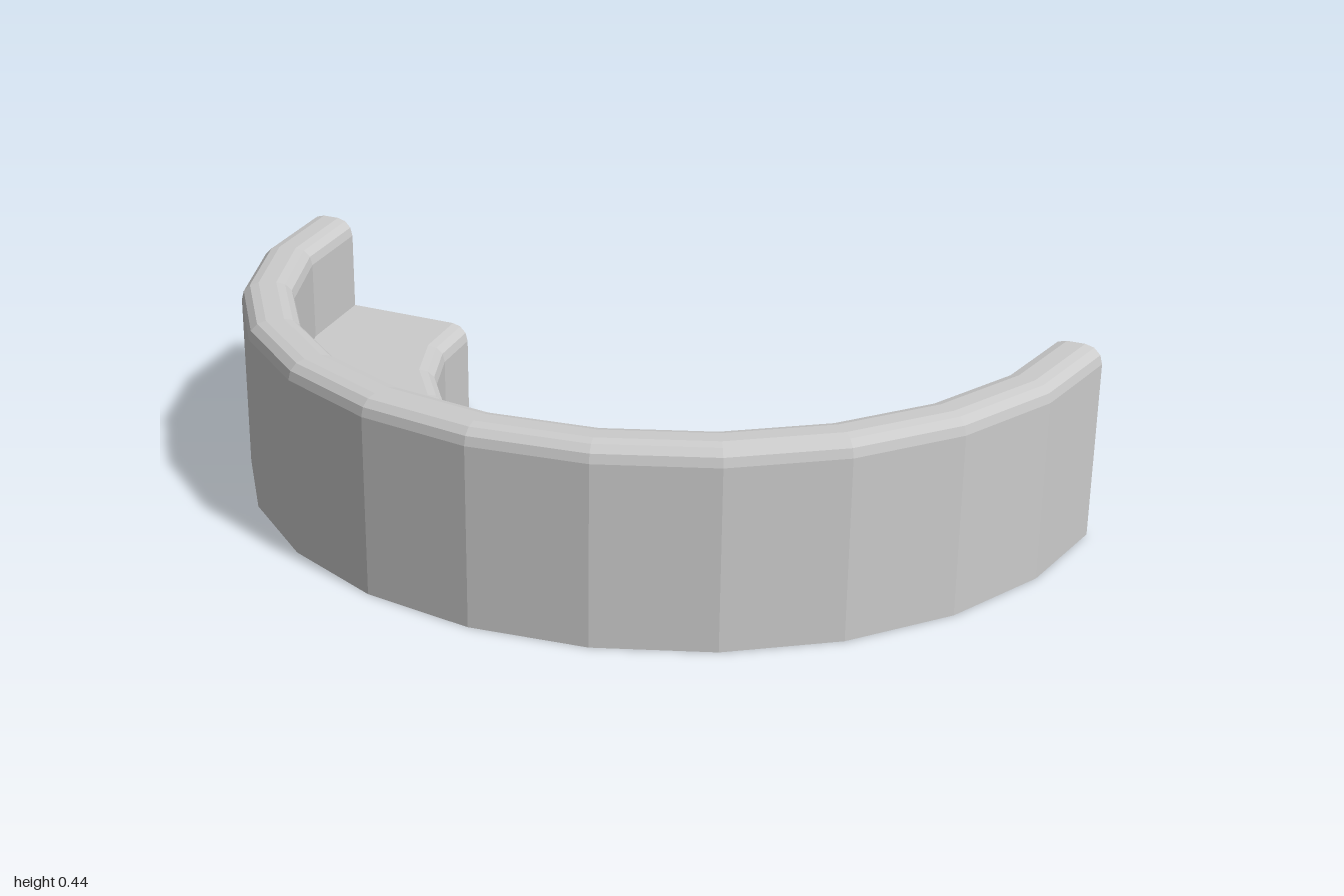
import * as THREE from 'three';

const HEIGHT = 0.443, SEAT = 0.222, FILLET = 0.04;
const R_OUT = 1, R_WALL = 0.88, R_IN = 0.56, Z_CENTRE = -0.5;

// Quarter-round in three steps, starting at angle a0 (degrees)
function fillet(cx, cy, a0) {
  return [0, 30, 60, 90].map((d) => {
    const a = THREE.MathUtils.degToRad(a0 + d);
    return new THREE.Vector2(cx + FILLET * Math.cos(a), cy + FILLET * Math.sin(a));
  });
}

export function createModel() {
  const group = new THREE.Group();
  group.name = 'halfRing';
  const material = new THREE.MeshStandardMaterial({ color: 0xcccccc, flatShading: true });

  // Stepped L-shaped section, counter-clockwise in (radius, height)
  const section = [
    new THREE.Vector2(R_IN, 0),
    new THREE.Vector2(R_OUT, 0),
    ...fillet(R_OUT - FILLET, HEIGHT - FILLET, 0),
    ...fillet(R_WALL + FILLET, HEIGHT - FILLET, 90),
    new THREE.Vector2(R_WALL, SEAT),
    ...fillet(R_IN + FILLET, SEAT - FILLET, 90),
  ];

  // Section swept through a half turn in 12 facets
  const sweep = new THREE.LatheGeometry([...section, section[0].clone()], 12, -Math.PI / 2, Math.PI).toNonIndexed();
  sweep.computeVertexNormals();
  const ring = new THREE.Mesh(sweep, material);
  ring.name = 'steppedRing';
  ring.position.z = Z_CENTRE;
  group.add(ring);

  // Flat cut faces at both ends, facing the back
  for (const side of [1, -1]) {
    const shape = new THREE.Shape(section.map((p) => new THREE.Vector2(-side * p.x, p.y)));
    const cap = new THREE.Mesh(new THREE.ShapeGeometry(shape).rotateY(Math.PI), material);
    cap.name = side > 0 ? 'leftEndFace' : 'rightEndFace';
    cap.position.z = Z_CENTRE;
    group.add(cap);
  }
  return group;
}
